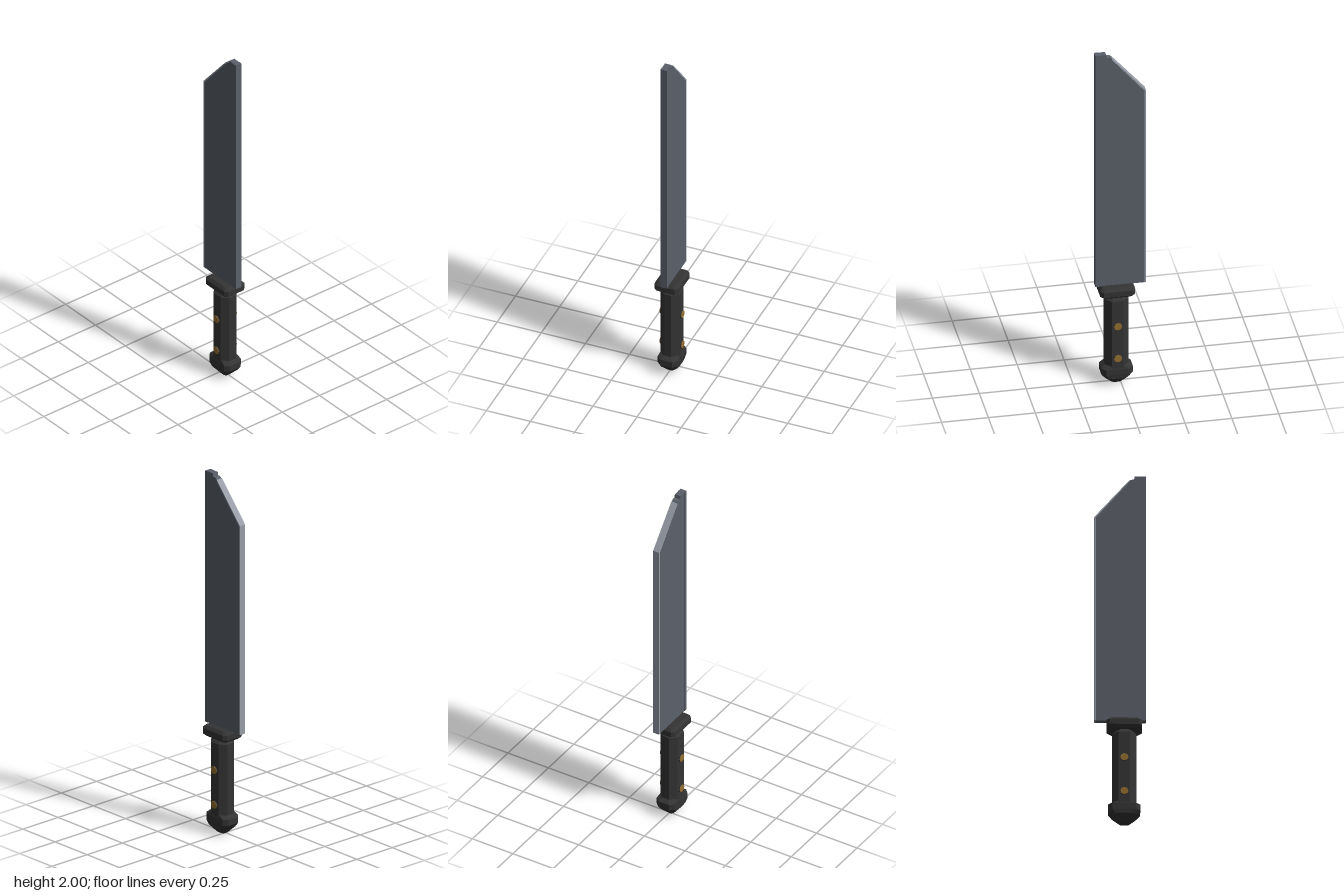
import * as THREE from 'three';

const material = (name, color) => {
  const m = new THREE.MeshStandardMaterial({ color, flatShading: true });
  m.name = name;
  return m;
};

const GRIP_Z = 0.022; // grip centre line

// Stack of chamfered rectangles; each ring is [y, halfX, halfZ, chamfer]
function loft(rings) {
  const pos = [], index = [];
  for (const [y, a, b, c] of rings) {
    const ring = [
      [a, b - c], [a - c, b], [c - a, b], [-a, b - c],
      [-a, c - b], [c - a, -b], [a - c, -b], [a, c - b],
    ];
    for (const [x, z] of ring) pos.push(x, y, z + GRIP_Z);
  }
  for (let r = 0; r < rings.length - 1; r++) {
    for (let i = 0; i < 8; i++) {
      const p = r * 8 + i, q = r * 8 + (i + 1) % 8;
      index.push(p, p + 8, q, q, p + 8, q + 8);
    }
  }
  const top = (rings.length - 1) * 8;
  for (let i = 1; i < 7; i++) {
    index.push(0, i, i + 1);
    index.push(top, top + i + 1, top + i);
  }
  const g = new THREE.BufferGeometry();
  g.setAttribute('position', new THREE.Float32BufferAttribute(pos, 3));
  g.setIndex(index);
  g.computeVertexNormals();
  return g;
}

// Side outline in (z, y), extruded evenly across x
function slab(points, thickness) {
  const shape = new THREE.Shape(points.map(([z, y]) => new THREE.Vector2(z, y)));
  const g = new THREE.ExtrudeGeometry(shape, { depth: thickness, bevelEnabled: false });
  g.translate(0, 0, -thickness / 2);
  g.rotateY(-Math.PI / 2);
  return g;
}

export function createModel() {
  const model = new THREE.Group();
  model.name = 'machete';
  const steel = material('dark steel', 0x5b606a);
  const edge = material('ground edge', 0x979da8);
  const black = material('black grip', 0x343434);
  const brass = material('brass', 0x94702f);

  const add = (name, geometry, mat) => {
    const mesh = new THREE.Mesh(geometry, mat);
    mesh.name = name;
    model.add(mesh);
    return mesh;
  };

  // Blade: wide panel, thicker spine, and the pale edge along back and tip
  add('bladePanel', slab([
    [0.12, 0.59], [0.12, 2], [0.077, 2], [0.073, 1.982], [0.055, 1.98],
    [0.042, 1.967], [-0.128, 1.764], [-0.128, 0.59],
  ], 0.034), steel);
  add('bladeSpine', slab([
    [0.135, 0.59], [0.135, 2], [0.115, 2], [0.115, 0.59],
  ], 0.037), steel);
  add('bladeEdge', slab([
    [-0.127, 0.59], [-0.127, 1.76], [0.045, 1.965], [0.045, 1.973],
    [-0.135, 1.764], [-0.135, 0.59],
  ], 0.037), edge);

  // Guard
  add('guard', loft([
    [0.533, 0.053, 0.078, 0.013],
    [0.547, 0.068, 0.093, 0.016],
    [0.577, 0.068, 0.093, 0.016],
    [0.592, 0.053, 0.078, 0.013],
  ]), black);

  // Octagonal grip, tapering into the guard
  add('grip', loft([
    [0.04, 0.054, 0.063, 0.033],
    [0.51, 0.054, 0.063, 0.033],
    [0.535, 0.03, 0.038, 0.018],
    [0.545, 0.03, 0.038, 0.018],
  ]), black);

  // Flared pommel
  add('pommel', loft([
    [0, 0.02, 0.027, 0.01],
    [0.04, 0.052, 0.066, 0.02],
    [0.063, 0.056, 0.084, 0.022],
    [0.097, 0.056, 0.084, 0.022],
    [0.115, 0.05, 0.062, 0.03],
  ]), black);

  // Rivets on both sides
  for (const y of [0.165, 0.36]) {
    for (const side of [-1, 1]) {
      const rivet = add('rivet', new THREE.CylinderGeometry(0.022, 0.022, 0.014, 8), black);
      const cap = add('rivetCap', new THREE.CylinderGeometry(0.021, 0.022, 0.003, 8), brass);
      rivet.rotation.z = cap.rotation.z = -side * Math.PI / 2;
      rivet.position.set(side * 0.053, y, GRIP_Z);
      cap.position.set(side * 0.0612, y, GRIP_Z);
    }
  }

  return model;
}
